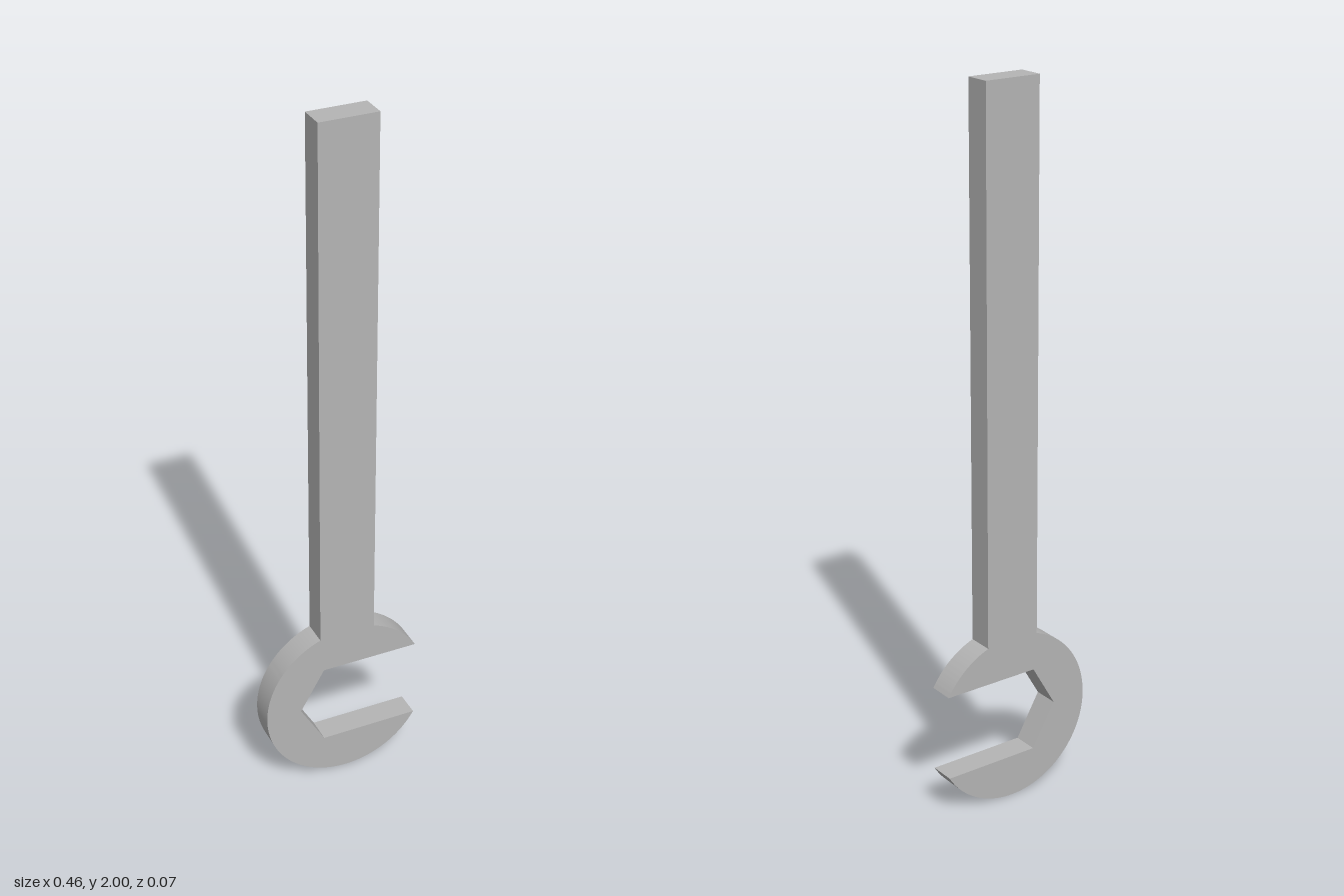
import * as THREE from 'three';
import { toCreasedNormals } from 'three/addons/utils/BufferGeometryUtils.js';

export function createModel() {
  const model = new THREE.Group();
  model.name = 'openEndWrench';
  const steel = new THREE.MeshStandardMaterial({ color: 0xb4b4b4 });
  steel.name = 'steel grey';

  const cx = 0.016, cy = 0.245, radius = 0.245; // round head
  const jaw = 0.123;                            // half the jaw opening
  const hex = jaw / Math.cos(Math.PI / 6);      // corner radius of the hexagonal seat
  const half = 0.0815, top = 2, depth = 0.073;  // handle half width, top and thickness

  const jawAngle = Math.asin(jaw / radius);
  const neckAngle = Math.acos(half / radius);

  // Outline: handle, left of the head, lower jaw, hexagonal seat, upper jaw
  const outline = new THREE.Shape();
  outline.moveTo(cx + half, top);
  outline.lineTo(cx - half, top);
  outline.absarc(cx, cy, radius, Math.PI - neckAngle, 2 * Math.PI - jawAngle, false);
  outline.lineTo(cx - hex / 2, cy - jaw);
  outline.lineTo(cx - hex, cy);
  outline.lineTo(cx - hex / 2, cy + jaw);
  outline.absarc(cx, cy, radius, jawAngle, neckAngle, false);
  outline.closePath();

  const geometry = new THREE.ExtrudeGeometry(outline, { depth, bevelEnabled: false, curveSegments: 48 });
  geometry.translate(0, 0, -depth / 2);

  const body = new THREE.Mesh(toCreasedNormals(geometry, 0.35), steel);
  body.name = 'handleAndOpenJaw';
  model.add(body);
  return model;
}
